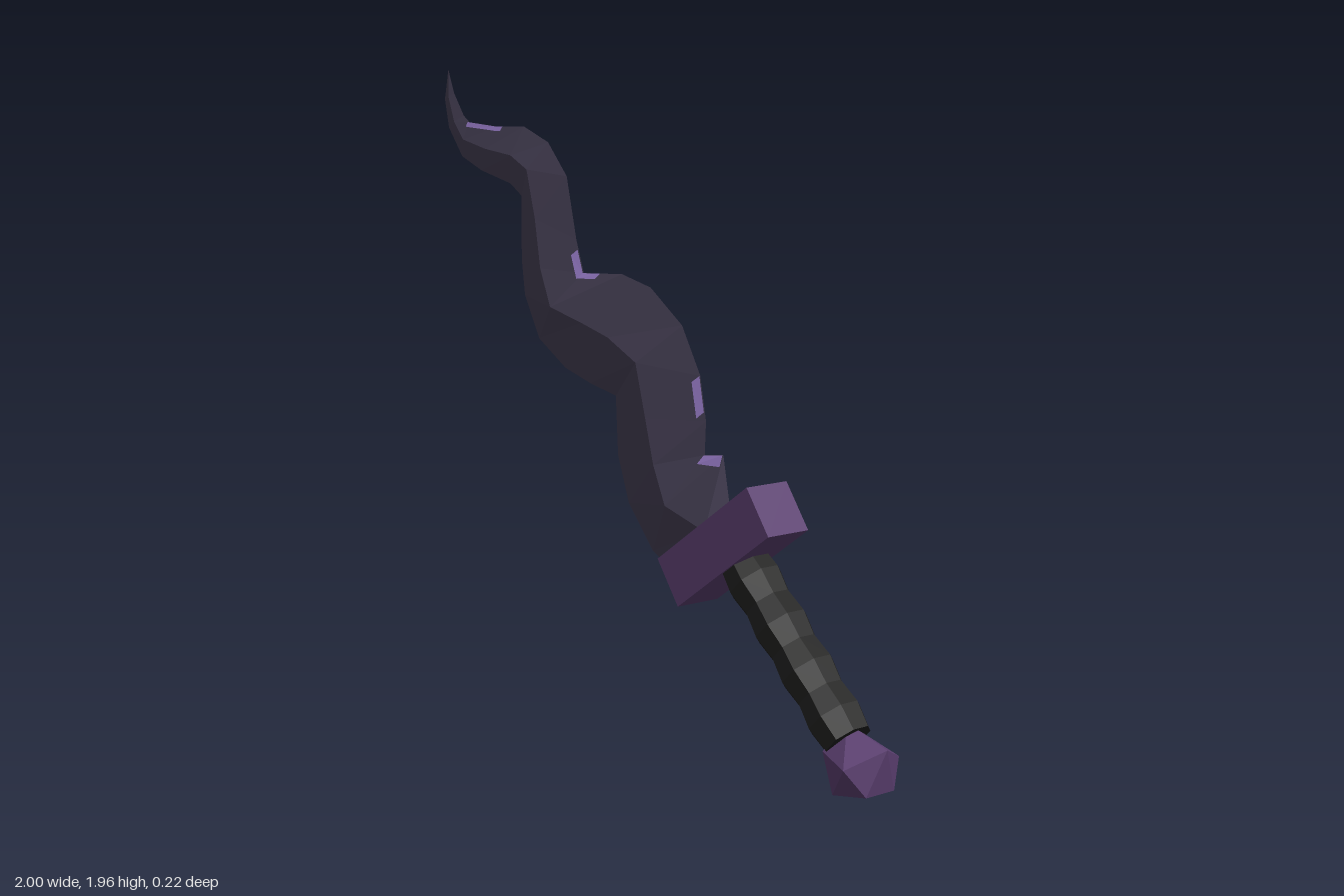
import * as THREE from 'three';
import { ConvexGeometry } from 'three/addons/geometries/ConvexGeometry.js';

const V = (x, y, z = 0) => new THREE.Vector3(x, y, z);

function material(name, color, options = {}) {
  const m = new THREE.MeshStandardMaterial({ color, flatShading: true, ...options });
  m.name = name;
  return m;
}

function mesh(name, geometry, mat) {
  const m = new THREE.Mesh(geometry, mat);
  m.name = name;
  return m;
}

function fromTriangles(points) {
  const g = new THREE.BufferGeometry().setFromPoints(points);
  g.computeVertexNormals();
  return g;
}

// Blade stations, base to tip: right edge x, y, left edge x, y, half thickness at the ridge
const stations = [
  [0.33, 0.88, 0.17, 0.48, 0.055],
  [0.25, 0.87, 0.02, 0.55, 0.054],
  [0.255, 0.97, -0.09, 0.68, 0.053],
  [0.23, 1.1, -0.14, 0.82, 0.052],
  [0.15, 1.24, -0.15, 1.0, 0.051],
  [0.01, 1.34, -0.27, 1.025, 0.049],
  [-0.12, 1.37, -0.39, 1.06, 0.047],
  [-0.3, 1.36, -0.52, 1.14, 0.044],
  [-0.335, 1.46, -0.59, 1.27, 0.04],
  [-0.38, 1.65, -0.605, 1.38, 0.036],
  [-0.47, 1.75, -0.605, 1.58, 0.032],
  [-0.59, 1.795, -0.66, 1.615, 0.027],
  [-0.72, 1.79, -0.81, 1.65, 0.019],
  [-0.87, 1.8, -0.91, 1.69, 0.012],
  [-0.9, 1.82, -0.98, 1.78, 0.009],
  [-0.95, 1.89, -1.0, 1.87, 0.005],
  [-0.98, 1.965, -0.98, 1.965, 0],
];

// Diamond cross-sections: right edge, front ridge, left edge, back ridge
const rings = stations.map(([rx, ry, lx, ly, h], i) => {
  // the ridge of the first section runs down to the guard, leaving a spur above it
  const [mx, my] = i === 0 ? [0.31, 0.66] : [(rx + lx) / 2, (ry + ly) / 2];
  return [V(rx, ry), V(mx, my, h), V(lx, ly), V(mx, my, -h)];
});

function bladeGeometry() {
  const tris = [];
  for (let i = 0; i < rings.length - 1; i++) {
    for (let k = 0; k < 4; k++) {
      const n = (k + 1) % 4;
      const [a, b, c, d] = [rings[i][k], rings[i + 1][k], rings[i + 1][n], rings[i][n]];
      tris.push(a, b, c, a, c, d);
    }
  }
  const [r, f, l, b] = rings[0];
  tris.push(r, f, b, f, l, b);
  return fromTriangles(tris);
}

// Thin strip following a blade edge between two fractional stations
function edgeStrip(edge, ridge, from, to, width) {
  const at = (t, k) => {
    const i = Math.min(Math.floor(t), rings.length - 2);
    return rings[i][k].clone().lerp(rings[i + 1][k], t - i);
  };
  const lift = ridge === 1 ? 0.004 : -0.004;
  const stops = [from];
  for (let t = Math.floor(from) + 1; t < to; t++) stops.push(t);
  stops.push(to);
  const pairs = stops.map((t) => {
    const outer = at(t, edge), middle = at(t, ridge);
    const inner = outer.clone().lerp(middle, width / outer.distanceTo(middle));
    outer.z += lift;
    inner.z += lift;
    return [outer, inner];
  });
  const tris = [];
  for (let i = 0; i < pairs.length - 1; i++) {
    const [a, d] = pairs[i], [b, c] = pairs[i + 1];
    // left edge on the back shares the winding of the right edge on the front
    tris.push(a, b, c, a, c, d);
  }
  return fromTriangles(tris);
}

export function createModel() {
  const model = new THREE.Group();
  model.name = 'wavyDagger';

  const steel = material('dark violet steel', 0x453f54);
  const purple = material('purple metal', 0x5b3f70);
  const leather = material('black grip', 0x1f1f1e);
  const lilac = material('lilac edge', 0x9c7fcd, { side: THREE.DoubleSide });

  model.add(mesh('blade', bladeGeometry(), steel));

  // Worn edge highlights: right edge on the front, left edge on the back
  const strips = [
    [0, 1, 0, 1, 0.035],
    [0, 1, 2.2, 3, 0.033],
    [0, 1, 6.55, 7.0, 0.025],
    [0, 1, 7.0, 7.7, 0.03],
    [0, 1, 11.8, 13.1, 0.016],
    [2, 3, 0, 0.5, 0.03],
    [2, 3, 3.7, 4.5, 0.03],
    [2, 3, 9.3, 10.5, 0.028],
  ];
  const highlights = new THREE.Group();
  highlights.name = 'edgeHighlights';
  strips.forEach((s, i) => highlights.add(mesh(`edgeHighlight${i + 1}`, edgeStrip(...s), lilac)));
  model.add(highlights);

  // Guard
  const guard = mesh('guard', new THREE.BoxGeometry(0.463, 0.157, 0.156), purple);
  guard.position.set(0.366, 0.623, 0);
  guard.rotation.z = 0.61;
  model.add(guard);

  // Grip: ribbed eight-sided lathe from pommel up to the guard
  const start = V(0.845, 0.145), end = V(0.415, 0.585);
  const length = start.distanceTo(end);
  const profile = [new THREE.Vector2(0, 0)];
  const rings8 = 8;
  for (let i = 0; i <= rings8; i++) {
    profile.push(new THREE.Vector2(i % 2 ? 0.084 : 0.073, (i / rings8) * length));
  }
  profile.push(new THREE.Vector2(0, length));
  const grip = mesh('grip', new THREE.LatheGeometry(profile, 8, Math.PI / 8), leather);
  grip.position.copy(start);
  grip.quaternion.setFromUnitVectors(V(0, 1), end.clone().sub(start).normalize());
  model.add(grip);

  // Pommel: faceted gem
  const gem = [V(0.84, 0.195), V(0.995, 0.15)];
  for (const s of [-1, 1]) {
    gem.push(V(0.97, 0.02, s * 0.055), V(0.935, 0.1, s * 0.11),
      V(0.85, 0.003, s * 0.065), V(0.8, 0.115, s * 0.055));
  }
  model.add(mesh('pommel', new ConvexGeometry(gem), purple));

  return model;
}
